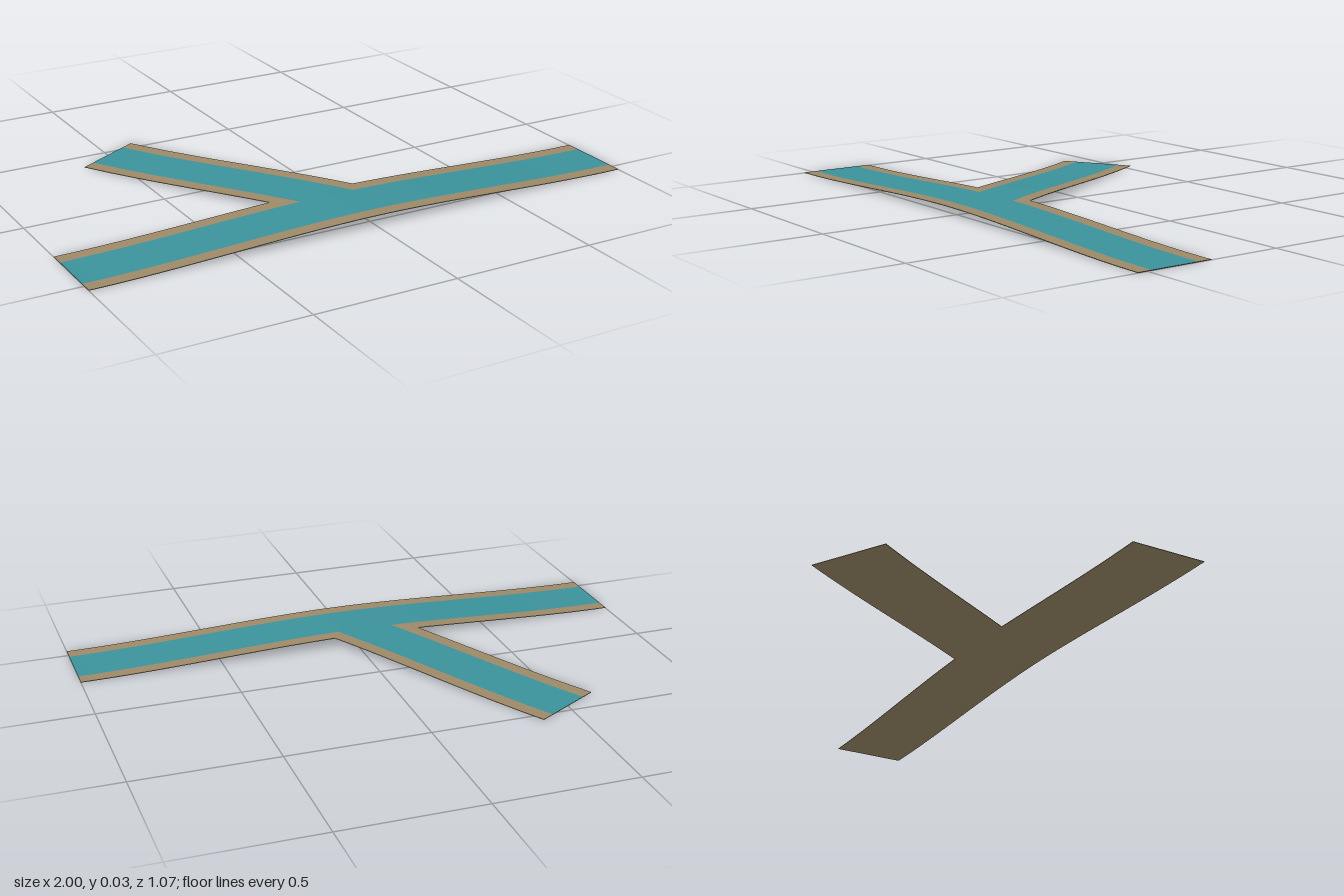
import * as THREE from 'three';

const HALF = 0.138;    // half width of the whole path
const LANE = 0.088;    // half width of the coloured lane
const CENTRE_Z = 0.397;
const RISE = 0.031;    // height of the hump at the junction
const THICK = 0.002;
const STEPS = 24;

// Gentle S-curve: level at the junction, level again at the far end of each arm
const height = s => THICK + RISE * (1 - s * s * (3 - 2 * s));

// Surface between two edges a(u) and b(u); it faces (direction of u) x (b - a)
function ribbon(a, b, steps = STEPS) {
  const pos = [], idx = [];
  for (let i = 0; i <= steps; i++) {
    pos.push(...a(i / steps), ...b(i / steps));
    if (i < steps) {
      const k = i * 2;
      idx.push(k, k + 2, k + 1, k + 1, k + 2, k + 3);
    }
  }
  const g = new THREE.BufferGeometry();
  g.setAttribute('position', new THREE.Float32BufferAttribute(pos, 3));
  g.setIndex(idx);
  g.computeVertexNormals();
  return g;
}

export function createModel() {
  const model = new THREE.Group();
  model.name = 'roadJunction';
  const teal = new THREE.MeshStandardMaterial({ color: 0x3b929b });
  teal.name = 'teal lane';
  const brown = new THREE.MeshStandardMaterial({ color: 0x9c8968 });
  brown.name = 'brown verge';

  // Each arm leaves the junction along an angle; its bands are mitred against
  // the neighbouring arms halfway between them.
  function addArm(name, angle, leftGap, rightGap) {
    const arm = new THREE.Group();
    arm.name = name;
    const dx = Math.cos(angle), dz = -Math.sin(angle);
    const mitre = t => Math.abs(t) / Math.tan((t > 0 ? leftGap : rightGap) / 2);
    // Lengthwise line at sideways offset t, lowered by drop
    const line = (t, drop = 0) => u => {
      const s0 = mitre(t), s = s0 + (1 - s0) * u;
      return [dx * s + dz * t, height(s) - drop, CENTRE_Z + dz * s - dx * t];
    };
    const add = (part, geometry, material) => {
      const mesh = new THREE.Mesh(geometry, material);
      mesh.name = part;
      arm.add(mesh);
    };
    // Top bands
    add('rightVerge', ribbon(line(-HALF), line(-LANE)), brown);
    add('laneRight', ribbon(line(-LANE), line(0)), teal);
    add('laneLeft', ribbon(line(0), line(LANE)), teal);
    add('leftVerge', ribbon(line(LANE), line(HALF)), brown);
    // Underside
    add('undersideRight', ribbon(line(0, THICK), line(-HALF, THICK)), brown);
    add('undersideLeft', ribbon(line(HALF, THICK), line(0, THICK)), brown);
    // Thin edges
    add('rightEdge', ribbon(line(-HALF, THICK), line(-HALF)), brown);
    add('leftEdge', ribbon(line(HALF), line(HALF, THICK)), brown);
    const across = drop => u => line(HALF * (2 * u - 1), drop)(1);
    add('endEdge', ribbon(across(THICK), across(0), 2), brown);
    model.add(arm);
  }

  const deg = Math.PI / 180;
  addArm('leftArm', 0, 120 * deg, 180 * deg);
  addArm('rightArm', 180 * deg, 180 * deg, 60 * deg);
  addArm('backBranch', 120 * deg, 60 * deg, 120 * deg);
  return model;
}
